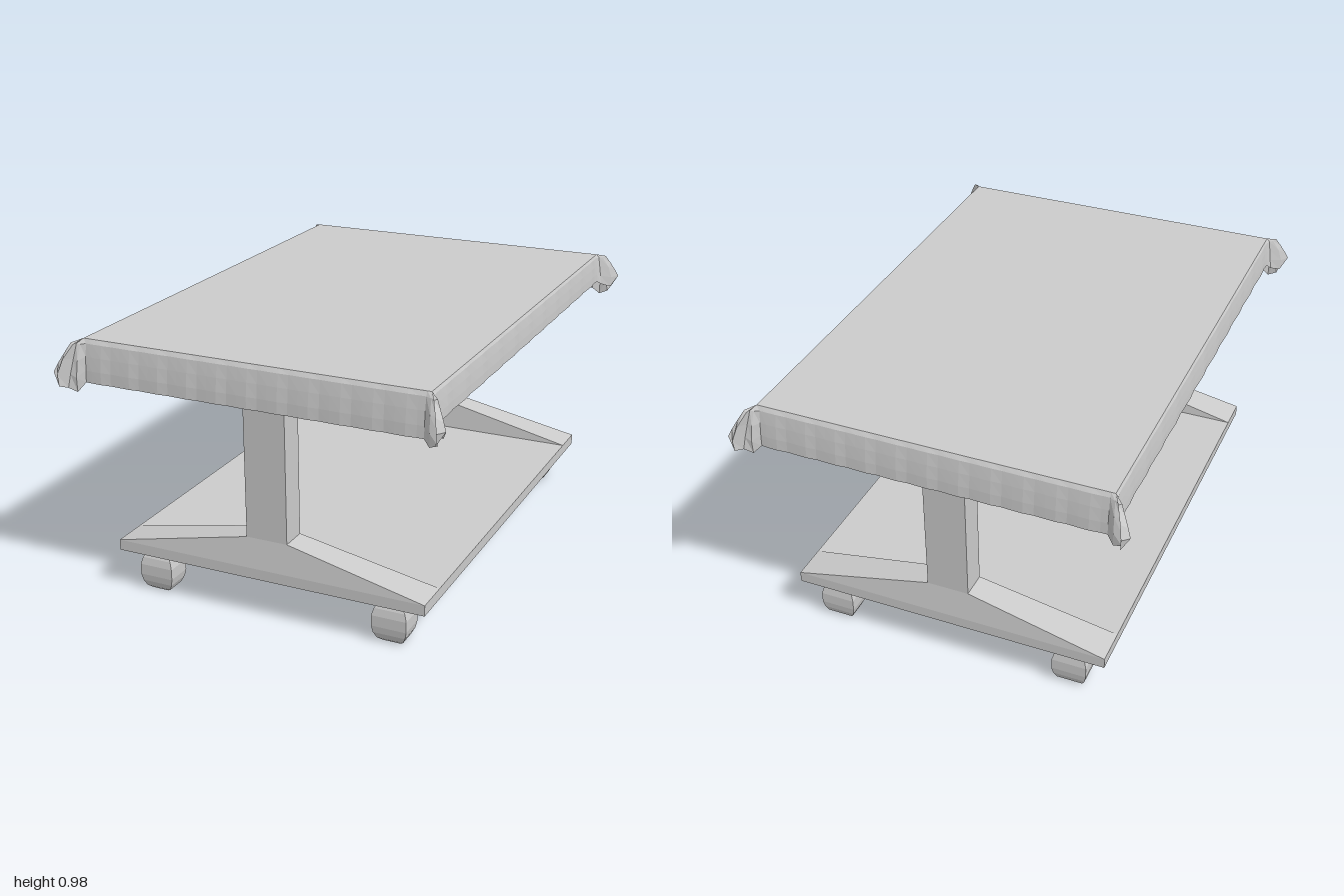
import * as THREE from 'three';

const material = new THREE.MeshStandardMaterial({ color: 0xcccccc, flatShading: true });
const clothMaterial = new THREE.MeshStandardMaterial({ color: 0xcccccc, flatShading: true, side: THREE.DoubleSide });

function add(parent, name, geometry, x, y, z, mat = material) {
  const mesh = new THREE.Mesh(geometry, mat);
  mesh.name = name;
  mesh.position.set(x, y, z);
  parent.add(mesh);
  return mesh;
}

// Box whose top face shrinks to its own width and depth
function taperedBox(w, h, d, topW, topD) {
  const geometry = new THREE.BoxGeometry(w, h, d);
  const p = geometry.attributes.position;
  for (let i = 0; i < p.count; i++) {
    if (p.getY(i) > 0) {
      p.setX(i, Math.sign(p.getX(i)) * topW / 2);
      p.setZ(i, Math.sign(p.getZ(i)) * topD / 2);
    }
  }
  geometry.computeVertexNormals();
  return geometry;
}

const EDGE_X = 0.64, EDGE_Z = 0.91, TOP = 0.976;

// Hem of one bunched corner, from the front skirt round to the side: x, z, y
const EAR = [
  [0.625, 0.932, 0.825], [0.65, 0.95, 0.795], [0.682, 0.958, 0.808], [0.69, 0.998, 0.825],
  [0.718, 0.985, 0.87], [0.695, 0.95, 0.83], [0.664, 0.918, 0.845], [0.654, 0.89, 0.866],
];

// Cloth skirt: columns run once round the table, rows run down from the top edge
function clothSkirt() {
  const columns = [];
  const corner = (sx, sz, drop) => {
    const ear = EAR.map(([x, z, y], i) => {
      const inner = i > 0 && i < EAR.length - 1;
      return {
        top: [sx * Math.min(x, EDGE_X), sz * Math.min(z, EDGE_Z)],
        hem: [sx * x, sz * z, y + (inner ? drop : 0)],
        fold: inner ? (i % 2 ? 0.12 : -0.08) : 0,
      };
    });
    columns.push(...(sx * sz > 0 ? ear : ear.reverse()));
  };
  // Straight run with a faint ripple along the hem
  const run = (alongX, side, direction) => {
    const n = 32, reach = alongX ? 0.6 : 0.86;
    for (let i = 0; i <= n; i++) {
      const a = direction * reach * (2 * i / n - 1);
      const ripple = 0.002 * Math.sin(i * 2.1);
      columns.push(alongX
        ? { top: [a, side * EDGE_Z], hem: [a, side * (0.934 + ripple), 0.825], fold: 0 }
        : { top: [side * EDGE_X, a], hem: [side * (0.653 + ripple), a, 0.866], fold: 0 });
    }
  };
  run(true, 1, 1);
  corner(1, 1, 0.012);
  run(false, 1, -1);
  corner(1, -1, 0.005);
  run(true, -1, -1);
  corner(-1, -1, 0.008);
  run(false, -1, 1);
  corner(-1, 1, -0.003);

  // Each row: share of the way outwards, share of the way down
  const rows = [[0, 0], [0.4, 0.1], [0.7, 0.4], [0.92, 0.72], [1, 1]];
  const positions = [], index = [];
  columns.forEach(({ top, hem, fold }, c) => {
    rows.forEach(([out, down], r) => {
      const f = out + (r === 2 || r === 3 ? fold : 0);
      positions.push(
        THREE.MathUtils.lerp(top[0], hem[0], f),
        THREE.MathUtils.lerp(TOP, hem[2], down),
        THREE.MathUtils.lerp(top[1], hem[1], f));
      if (r === rows.length - 1) return;
      const a = c * rows.length + r;
      const d = ((c + 1) % columns.length) * rows.length + r;
      index.push(a, a + 1, d + 1, a, d + 1, d);
    });
  });
  const geometry = new THREE.BufferGeometry();
  geometry.setAttribute('position', new THREE.Float32BufferAttribute(positions, 3));
  geometry.setIndex(index);
  geometry.computeVertexNormals();
  return geometry;
}

// Square-sectioned rounded caster: half width, height
function casterGeometry() {
  const profile = [[0, 0], [0.5, 0], [0.75, 0.012], [0.92, 0.034], [1, 0.06], [1, 0.1], [0.88, 0.127], [0.62, 0.151], [0, 0.151]];
  const points = profile.map(([r, y]) => new THREE.Vector2(r * Math.SQRT2, y));
  const geometry = new THREE.LatheGeometry(points, 4, Math.PI / 4);
  geometry.scale(0.065, 1, 0.05);
  return geometry;
}

export function createModel() {
  const model = new THREE.Group();
  model.name = 'rollingTable';
  const table = new THREE.Group();
  table.name = 'table';
  table.position.x = -0.005;
  model.add(table);

  // Table top with its draped cloth
  add(table, 'tableTop', new THREE.BoxGeometry(EDGE_X * 2, TOP - 0.866, EDGE_Z * 2), 0, (TOP + 0.866) / 2, 0);
  add(table, 'clothSkirt', clothSkirt(), 0, 0, 0, clothMaterial);

  // Lower shelf
  add(table, 'baseShelf', new THREE.BoxGeometry(1.198, 0.04, 1.674), 0, 0.17, 0);

  // Foot, post and casters at each end
  for (const side of [1, -1]) {
    const end = side > 0 ? 'front' : 'back';
    add(table, end + 'Foot', taperedBox(1.198, 0.11, 0.134, 0.157, 0.1), 0, 0.245, side * 0.77);
    add(table, end + 'Post', new THREE.BoxGeometry(0.157, 0.57, 0.1), 0, 0.585, side * 0.77);
    for (const sx of [1, -1]) {
      add(table, end + (sx > 0 ? 'Left' : 'Right') + 'Caster', casterGeometry(), sx * 0.461, 0, side * 0.77);
    }
  }
  return model;
}
